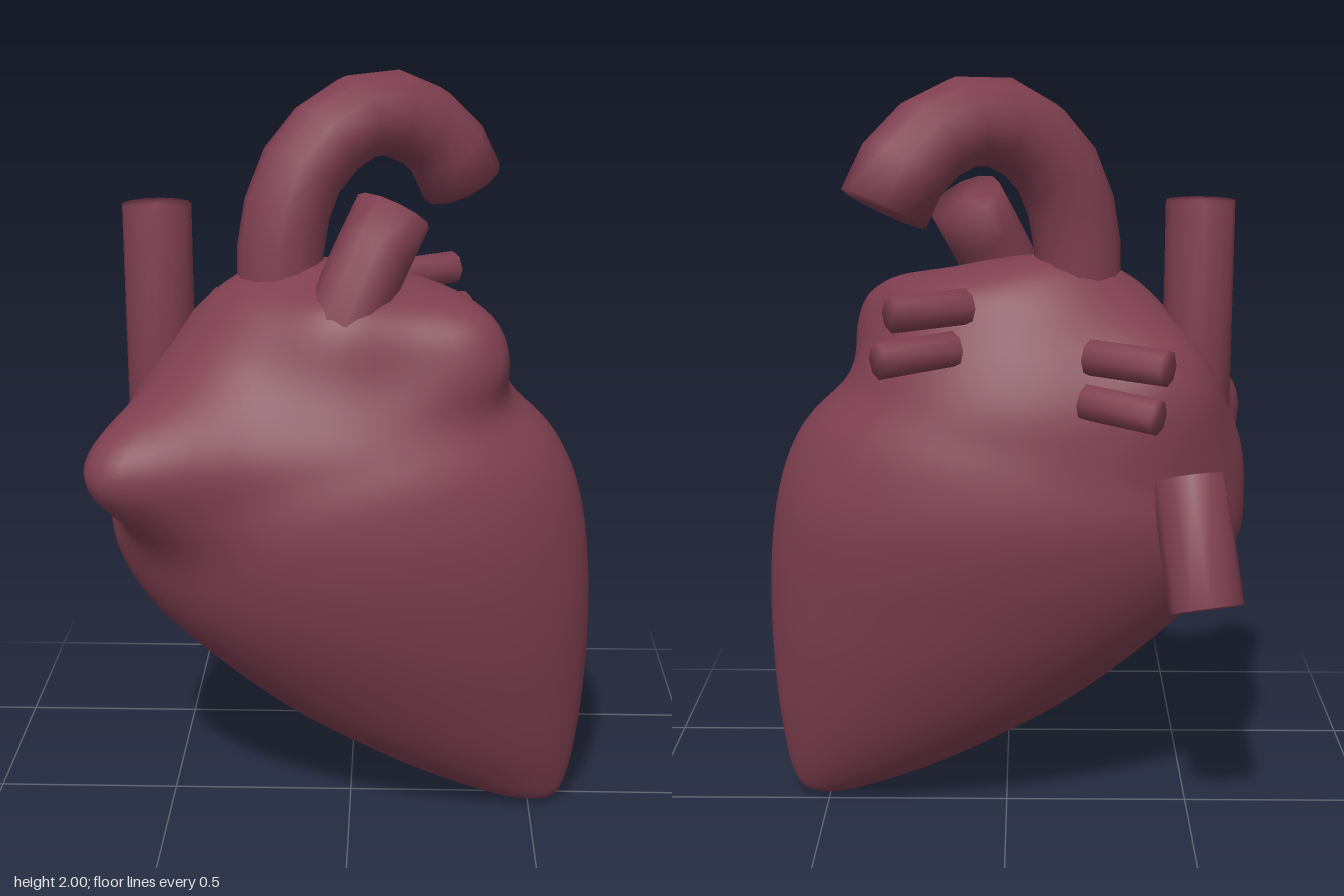
import * as THREE from 'three';
import { mergeGeometries, mergeVertices } from 'three/addons/utils/BufferGeometryUtils.js';

const material = new THREE.MeshStandardMaterial({ color: 0x7f3f50, side: THREE.DoubleSide });
const V = (p) => new THREE.Vector3(...p);

// Horizontal sections of the muscle: y, xMin, xMax, zBack, zFront
const SECTIONS = [
  [0, 0.52, 0.52, 0.04, 0.04],
  [0.025, 0.40, 0.58, 0.0, 0.085],
  [0.1, 0.20, 0.61, -0.06, 0.14],
  [0.2, 0.0, 0.627, -0.125, 0.205],
  [0.32, -0.2, 0.64, -0.19, 0.27],
  [0.48, -0.4, 0.648, -0.262, 0.345],
  [0.62, -0.542, 0.648, -0.312, 0.398],
  [0.75, -0.62, 0.64, -0.35, 0.432],
  [0.88, -0.65, 0.622, -0.37, 0.447],
  [1.0, -0.635, 0.587, -0.358, 0.437],
  [1.1, -0.6, 0.53, -0.338, 0.41],
  [1.2, -0.55, 0.435, -0.31, 0.36],
  [1.3, -0.49, 0.37, -0.265, 0.305],
  [1.4, -0.41, 0.32, -0.205, 0.255],
  [1.46, -0.35, 0.26, -0.165, 0.205],
  [1.505, -0.28, 0.12, -0.12, 0.12],
  [1.53, -0.21, -0.02, -0.07, 0.06],
  [1.535, -0.12, -0.12, 0.0, 0.0],
];

// Soft swellings pulled out of the surface: centre, push, reach
const SWELLINGS = [
  [[-0.45, 1.09, 0.31], [-0.165, 0.01, 0.15], 0.185], // right auricle
  [[0.28, 1.34, 0.18], [0.09, 0.03, 0.05], 0.15], // left auricle
  [[0.0, 1.4, 0.22], [0, 0.02, 0.025], 0.14], // root of the front artery
  [[-0.42, 1.2, -0.15], [-0.03, 0.03, -0.045], 0.18], // back of the right chamber
];

function heartMuscle() {
  const rings = 72, sides = 64, pos = [], index = [];
  const low = new THREE.CatmullRomCurve3(SECTIONS.map((s) => V([s[1], s[0], s[3]])), false, 'catmullrom');
  const high = new THREE.CatmullRomCurve3(SECTIONS.map((s) => V([s[2], s[0], s[4]])), false, 'catmullrom');
  for (let i = 0; i <= rings; i++) {
    const a = low.getPoint(i / rings), b = high.getPoint(i / rings);
    for (let j = 0; j < sides; j++) {
      const t = (j / sides) * Math.PI * 2;
      const p = V([
        (a.x + b.x) / 2 + ((b.x - a.x) / 2) * Math.cos(t),
        Math.max(0, a.y),
        (a.z + b.z) / 2 + ((b.z - a.z) / 2) * Math.sin(t),
      ]);
      const start = p.clone();
      for (const [c, push, reach] of SWELLINGS) {
        const d = start.distanceTo(V(c)) / reach;
        p.addScaledVector(V(push), Math.exp(-(d ** 2.6)));
      }
      // Shallow slanting groove between upper and lower chambers
      const g = (start.y - 1.08 - 0.28 * start.x) / 0.07;
      const pinch = 1 - 0.015 * Math.exp(-g * g);
      p.x *= pinch;
      p.z *= pinch;
      pos.push(p.x, p.y, p.z);
      if (i < rings) {
        const k = i * sides + j, n = i * sides + ((j + 1) % sides);
        index.push(k, k + sides, n, n, k + sides, n + sides);
      }
    }
  }
  const geo = new THREE.BufferGeometry();
  geo.setAttribute('position', new THREE.Float32BufferAttribute(pos, 3));
  geo.setIndex(index);
  geo.computeVertexNormals();
  const mesh = new THREE.Mesh(geo, material);
  mesh.name = 'heartMuscle';
  return mesh;
}

// Closed tube through a few points, its ends shaded softly into the wall
function vessel(name, points, radius, segments = 1, sides = 12) {
  const curve = new THREE.CatmullRomCurve3(points.map(V));
  const parts = [new THREE.TubeGeometry(curve, segments, radius, sides)];
  const frames = curve.computeFrenetFrames(segments);
  for (const end of [0, 1]) {
    const k = end * segments;
    const out = frames.tangents[k].clone().multiplyScalar(end ? 1 : -1);
    // Match the cap's corners to the wall's corners
    const x = frames.normals[k].clone().negate();
    const y = out.clone().cross(x);
    const place = new THREE.Matrix4().makeBasis(x, y, out).setPosition(curve.getPointAt(end));
    parts.push(new THREE.CircleGeometry(radius, sides).applyMatrix4(place));
  }
  let geo = mergeGeometries(parts);
  geo.deleteAttribute('normal');
  geo.deleteAttribute('uv');
  geo = mergeVertices(geo, 1e-3);
  geo.computeVertexNormals();
  const mesh = new THREE.Mesh(geo, material);
  mesh.name = name;
  return mesh;
}

export function createModel() {
  const model = new THREE.Group();
  model.name = 'heart';
  model.add(heartMuscle());

  // Great vessels
  model.add(vessel('aorta', [
    [-0.18, 1.35, 0], [-0.185, 1.55, -0.005], [-0.14, 1.74, -0.035], [-0.04, 1.858, -0.095],
    [0.07, 1.896, -0.165], [0.18, 1.855, -0.235], [0.25, 1.785, -0.285], [0.295, 1.69, -0.31],
  ], 0.113, 10));
  model.add(vessel('pulmonaryArtery', [[-0.05, 1.3, 0.205], [0.015, 1.48, 0.155], [0.11, 1.675, 0.065]], 0.1, 4));
  model.add(vessel('upperVenaCava', [[-0.502, 1.1, 0], [-0.502, 1.68, 0]], 0.09));
  model.add(vessel('lowerVenaCava', [[-0.465, 1.0, -0.25], [-0.51, 0.69, -0.37]], 0.096));

  // Pulmonary veins, two on each side
  model.add(vessel('leftUpperVein', [[0.1, 1.44, -0.24], [0.275, 1.44, -0.365]], 0.046, 1, 8));
  model.add(vessel('leftLowerVein', [[0.13, 1.335, -0.25], [0.31, 1.325, -0.37]], 0.046, 1, 8));
  model.add(vessel('rightUpperVein', [[-0.21, 1.325, -0.31], [-0.395, 1.32, -0.42]], 0.046, 1, 8));
  model.add(vessel('rightLowerVein', [[-0.2, 1.21, -0.3], [-0.375, 1.195, -0.405]], 0.046, 1, 8));
  return model;
}
